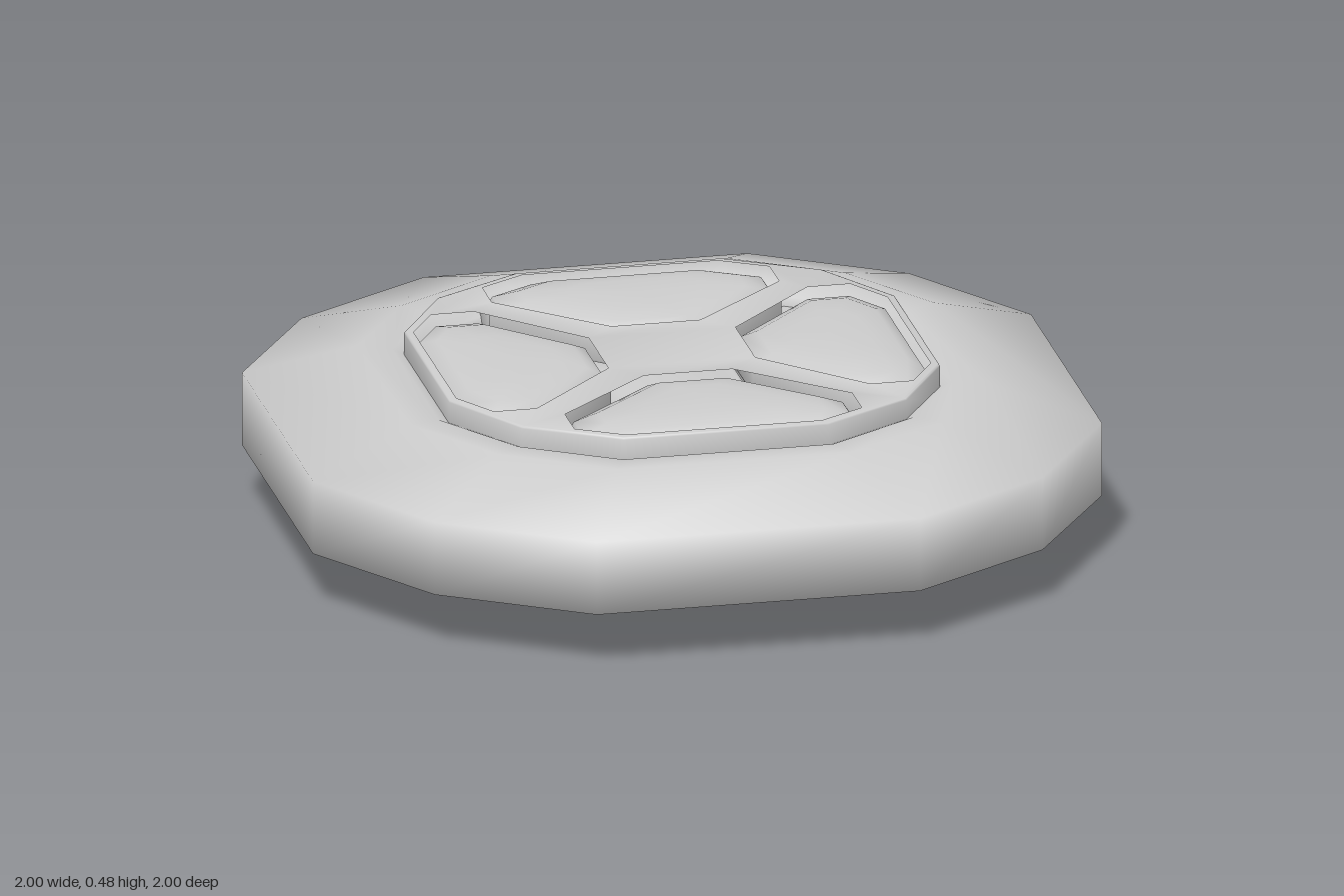
import * as THREE from 'three';
import { mergeVertices, toCreasedNormals } from 'three/addons/utils/BufferGeometryUtils.js';

// Turns a list of [x, z] points by quarter turns about the y axis
const turn = (pts, n) => {
  let out = pts;
  for (let i = 0; i < n; i++) out = out.map(([x, z]) => [-z, x]);
  return out;
};
const fourFold = (pts) => [0, 1, 2, 3].flatMap((n) => turn(pts, n));
const vecs = (pts) => pts.map(([x, z]) => new THREE.Vector2(x, -z));

// Joins scaled copies of an outline; profile entries are [scale, y]
function loft(outline, profile, cx = 0, cz = 0) {
  const n = outline.length, pos = [], idx = [];
  for (const [s, y] of profile)
    for (const [x, z] of outline) pos.push(cx + (x - cx) * s, y, cz + (z - cz) * s);
  for (let r = 0; r < profile.length - 1; r++)
    for (let i = 0; i < n; i++) {
      const a = r * n + i, b = r * n + (i + 1) % n, c = a + n, d = b + n;
      idx.push(a, c, b, b, c, d);
    }
  const g = new THREE.BufferGeometry();
  g.setAttribute('position', new THREE.Float32BufferAttribute(pos, 3));
  g.setIndex(idx);
  return g;
}

// Extruded plan shape between two heights with softened edges
function slab(shape, y0, y1, bevel) {
  const g = new THREE.ExtrudeGeometry(shape, {
    depth: y1 - y0 - 2 * bevel, bevelEnabled: true, bevelThickness: bevel,
    bevelSize: bevel, bevelOffset: -bevel, bevelSegments: 2,
  });
  g.rotateX(-Math.PI / 2);
  g.translate(0, y0 + bevel, 0);
  return toCreasedNormals(g, 0.9);
}

export function createModel() {
  const group = new THREE.Group();
  const grey = new THREE.MeshStandardMaterial({ color: 0xcccccc });
  grey.name = 'plain grey';
  const add = (name, geometry) => {
    const m = new THREE.Mesh(geometry, grey);
    m.name = name;
    group.add(m);
  };

  // Twelve-sided tyre, running in order from +x towards +z
  const outline = fourFold([[1, 0.41], [0.77, 0.77], [0.41, 1]]);
  const tyre = loft(outline, [
    [0.58, 0.12], [0.6, 0.09], [0.65, 0.065], [0.73, 0.06], [1, 0.15],
    [1, 0.34], [0.73, 0.43], [0.65, 0.425], [0.6, 0.4], [0.58, 0.37], [0.58, 0.12],
  ]);
  tyre.computeVertexNormals();
  add('tyre', tyre);

  // Upper frame: rim and crossed spokes around four openings
  const opening = [
    [0.18, -0.115], [0.42, -0.37], [0.535, -0.37], [0.607, -0.25],
    [0.607, 0.25], [0.535, 0.37], [0.42, 0.37], [0.18, 0.115],
  ];
  const rim = new THREE.Shape(vecs(fourFold([[0.622, 0.26], [0.487, 0.487], [0.26, 0.622]])));
  for (let n = 0; n < 4; n++) rim.holes.push(new THREE.Path(vecs(turn(opening, n))));
  add('upperFrame', slab(rim, 0.37, 0.472, 0.006));

  // Lower frame: crossed spokes with flared ends
  const cross = new THREE.Shape(vecs(fourFold([
    [0.18, 0.115], [0.42, 0.37], [0.53, 0.38], [0.5, 0.5], [0.38, 0.53], [0.37, 0.42], [0.115, 0.18],
  ])));
  add('lowerFrame', slab(cross, 0.008, 0.38, 0.015));

  // Domed cushion in each opening, closed above and below
  for (let n = 0; n < 4; n++) {
    const [[cx, cz]] = turn([[0.4, 0]], n);
    let pad = loft(turn(opening, n), [
      [0, 0], [0.45, 0.002], [0.75, 0.01], [0.92, 0.024], [0.97, 0.05],
      [0.97, 0.42], [0.92, 0.449], [0.75, 0.468], [0.45, 0.478], [0, 0.48],
    ], cx, cz);
    pad = mergeVertices(pad, 1e-4);
    pad.computeVertexNormals();
    add('cushion', pad);
  }
  return group;
}
